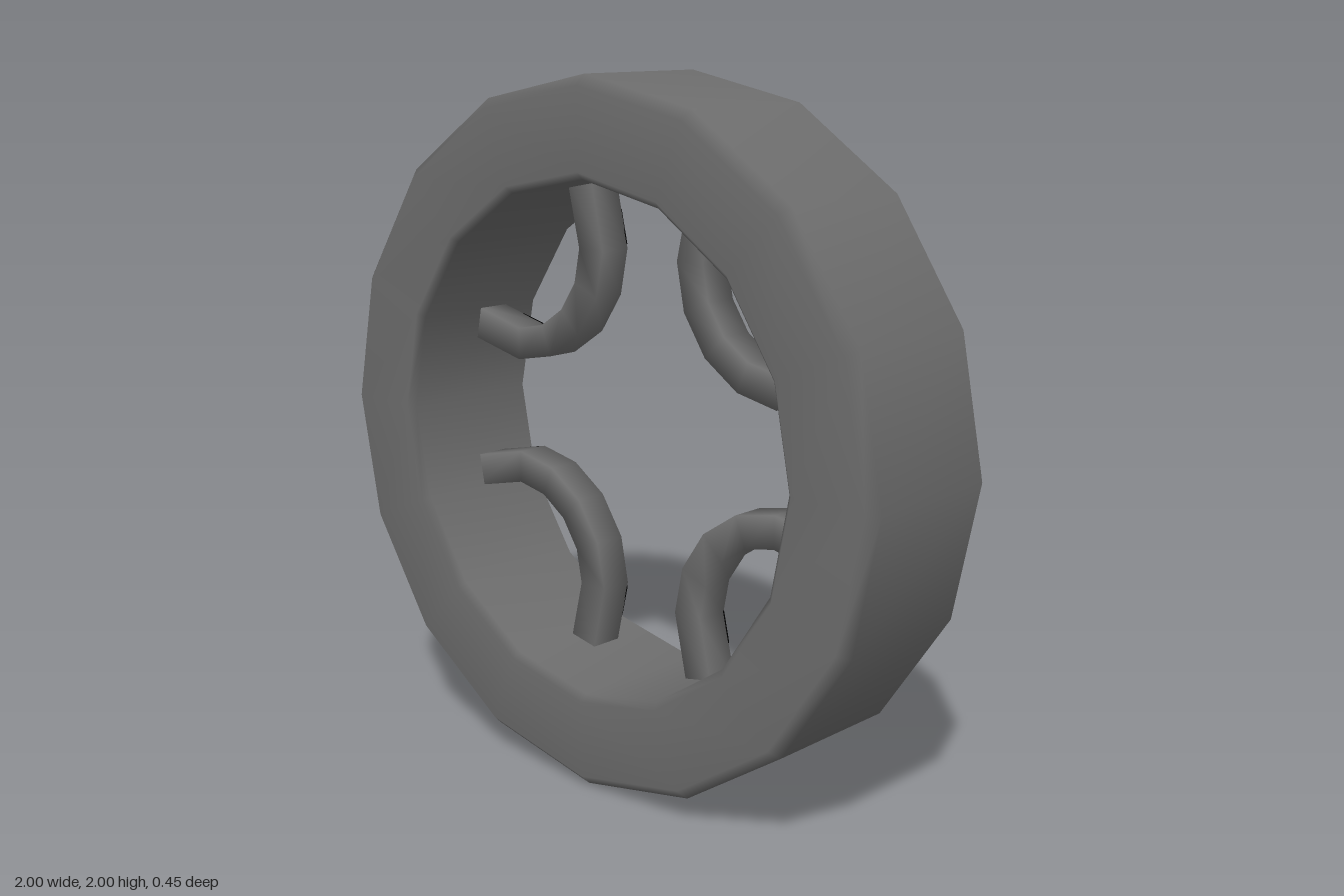
import * as THREE from 'three';

const SIDES = 16;
const DEG = Math.PI / 180;

// Square tube swept along a flat path; each station is [x, y, normalAngle], ends left open
function squareTube(stations, width, depth) {
  const pos = [], index = [];
  for (const [x, y, a] of stations) {
    for (const [u, v] of [[1, 1], [1, -1], [-1, -1], [-1, 1]]) {
      const o = u * width / 2;
      pos.push(x + o * Math.cos(a), y + o * Math.sin(a), v * depth / 2);
    }
  }
  for (let i = 0; i < stations.length - 1; i++) {
    for (let j = 0; j < 4; j++) {
      const a = i * 4 + j, b = i * 4 + (j + 1) % 4;
      index.push(a, b, a + 4, b, b + 4, a + 4);
    }
  }
  const g = new THREE.BufferGeometry();
  g.setAttribute('position', new THREE.Float32BufferAttribute(pos, 3));
  g.setIndex(index);
  g.computeVertexNormals();
  return g;
}

export function createModel() {
  const group = new THREE.Group();
  const grey = new THREE.MeshStandardMaterial({ color: 0x6d6d6d, side: THREE.DoubleSide });
  const black = new THREE.MeshStandardMaterial({ color: 0x000000 });

  // Hollow ring, bevelled at the front and open at the back
  const profile = [
    [1, -0.225], [1, 0.195], [0.97, 0.225],
    [0.745, 0.225], [0.725, 0.205], [0.725, -0.225],
  ].map(([r, z]) => new THREE.Vector2(r, z));
  const ringGeometry = new THREE.LatheGeometry(profile, SIDES);
  ringGeometry.rotateX(Math.PI / 2);
  const ring = new THREE.Mesh(ringGeometry, grey);
  ring.name = 'ring';
  ring.position.y = 1;
  group.add(ring);

  // Curved handles: a quarter bend with ends splayed out through the inner wall
  const stations = [[0.239, 0.712, 166 * DEG]];
  for (let i = 0; i <= 4; i++) {
    const a = (180 + i * 22.5) * DEG;
    stations.push([0.5 + 0.31 * Math.cos(a), 0.5 + 0.31 * Math.sin(a), a]);
  }
  stations.push([0.712, 0.239, 284 * DEG]);
  const handleGeometry = squareTube(stations, 0.095, 0.1);
  const padGeometry = new THREE.BoxGeometry(0.1, 0.094, 0.004);

  for (let i = 0; i < 4; i++) {
    const handle = new THREE.Group();
    handle.name = 'handle' + (i + 1);
    handle.position.set(0, 1, -0.06);
    handle.rotation.z = i * Math.PI / 2;
    group.add(handle);

    const bend = new THREE.Mesh(handleGeometry, grey);
    bend.name = 'handleBend';
    handle.add(bend);

    // Black pads on the back of both straight ends
    for (const [x, y, angle] of [[0.55, 0.202, 13], [0.202, 0.55, 77]]) {
      const pad = new THREE.Mesh(padGeometry, black);
      pad.name = 'handlePad';
      pad.position.set(x, y, -0.05);
      pad.rotation.z = angle * DEG;
      handle.add(pad);
    }
  }
  return group;
}
